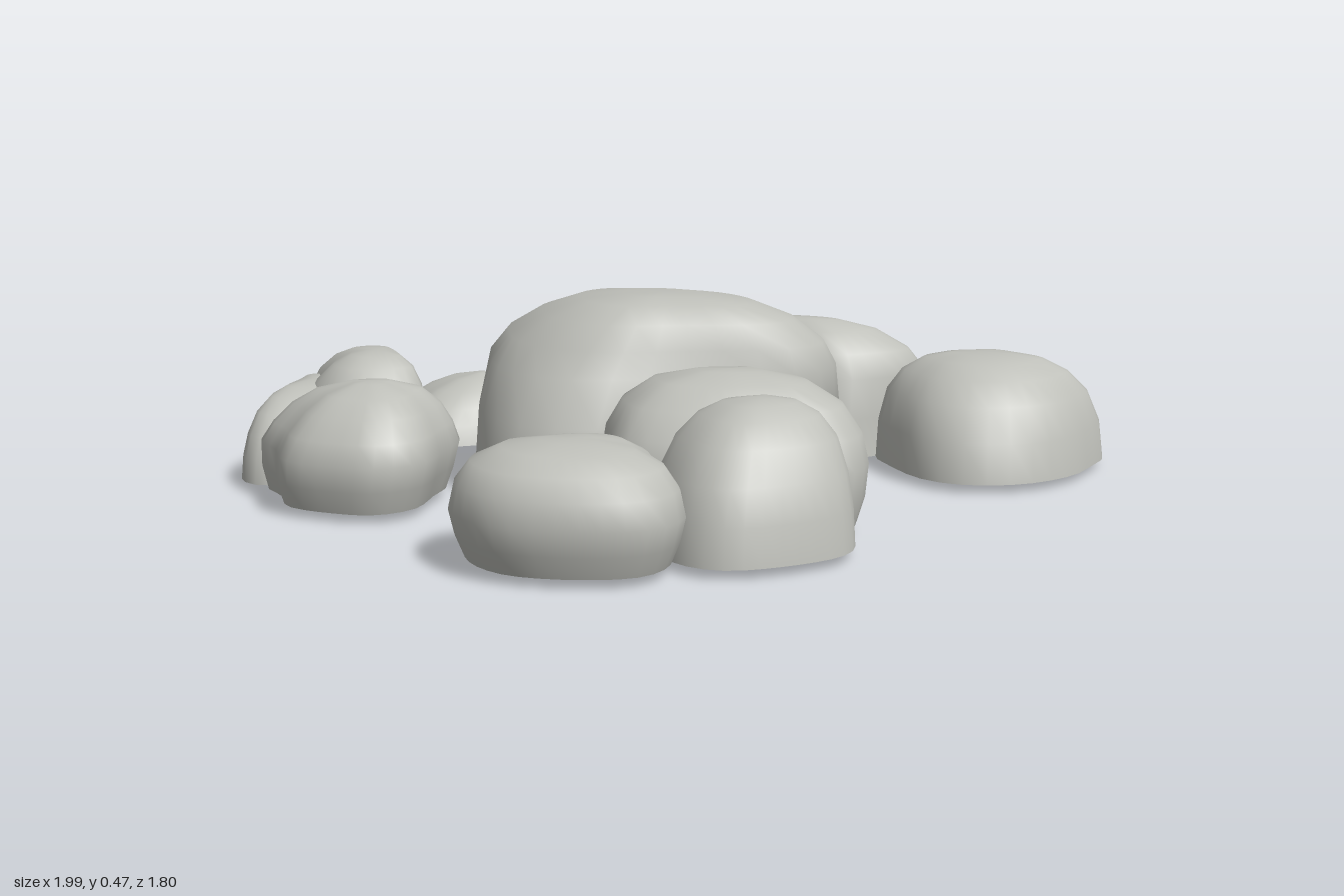
import * as THREE from 'three';

const SIDES = 32;

// Level: [height fraction, x scale, z scale, x shift, z shift]
const ROUND = [[0, .87], [.2, .95], [.42, 1], [.65, .95], [.83, .82], [.95, .57], [1, .25]];
const PEBBLE = [[0, .9], [.2, .97], [.42, 1], [.6, .9], [.78, .74], [.92, .52], [1, .2]];
const LOAF = [[0, .9], [.2, .97], [.42, 1], [.62, .96, .9], [.8, .83, .74], [.94, .58, .5], [1, .25, .2]];
const SPREAD = [[0, 1], [.28, .97], [.52, .9], [.75, .77], [.9, .58], [.98, .36], [1, .15]];
const WEDGE = [[0, 1], [.3, .93, .91], [.55, .8, .76], [.78, .59, .54], [.93, .36, .32], [1, .1]];
const RIDGE = [[0, 1], [.35, .97, .94], [.65, .88, .76], [.84, .73, .56], [.96, .52, .38], [1, .28, .16]];
const SLAB = [[0, .93, 1, .03], [.3, .98, .93, .01], [.6, 1, .78], [.78, .86, .6], [.93, .6, .38], [1, .3, .14]];
const BOULDER = [
  [0, .83, .97, -.07, 0], [.17, .93, .98, -.03, 0], [.42, 1, .9, 0, .015], [.64, .97, .74, .01, .03],
  [.77, .88, .61, .03, .06], [.89, .7, .47, .05, .09], [.97, .48, .31, .06, .11], [1, .22, .15, .06, .12],
];

// Lofts a closed plan outline through the levels; lean moves the crown in x and z
function rockGeometry({ outline, base = .02, top, levels, lean = [0, 0] }) {
  const curve = new THREE.CatmullRomCurve3(
    outline.map(([x, z]) => new THREE.Vector3(x, 0, z)), true, 'centripetal');
  const ring = curve.getSpacedPoints(SIDES).slice(0, SIDES);
  const area = ring.reduce((sum, p, i) => {
    const q = ring[(i + 1) % SIDES];
    return sum + p.x * q.z - q.x * p.z;
  }, 0);
  if (area > 0) ring.reverse();
  const box = new THREE.Box3().setFromPoints(ring);
  const c = box.getCenter(new THREE.Vector3());

  const positions = [], index = [];
  const addRing = ([h, sx, sz = sx, dx = 0, dz = 0]) => {
    const k = h * h;
    for (const p of ring) {
      positions.push(c.x + (p.x - c.x) * sx + dx + lean[0] * k,
        base + (top - base) * h,
        c.z + (p.z - c.z) * sz + dz + lean[1] * k);
    }
  };
  levels.forEach(addRing);
  const last = levels.length - 1;
  for (let r = 0; r < last; r++) {
    for (let i = 0; i < SIDES; i++) {
      const a = r * SIDES + i, b = r * SIDES + (i + 1) % SIDES;
      index.push(a, b, a + SIDES, b, b + SIDES, a + SIDES);
    }
  }
  // Crown point
  const [, , , tx = 0, tz = 0] = levels[last];
  const crown = positions.length / 3;
  positions.push(c.x + tx + lean[0], top + .002, c.z + tz + lean[1]);
  for (let i = 0; i < SIDES; i++) {
    index.push(last * SIDES + i, last * SIDES + (i + 1) % SIDES, crown);
  }
  // Flat underside with its own vertices for a sharp lower edge
  const under = positions.length / 3;
  addRing(levels[0]);
  const middle = positions.length / 3;
  positions.push(c.x + (levels[0][3] || 0), base, c.z + (levels[0][4] || 0));
  for (let i = 0; i < SIDES; i++) index.push(under + (i + 1) % SIDES, under + i, middle);

  const geometry = new THREE.BufferGeometry();
  geometry.setAttribute('position', new THREE.Float32BufferAttribute(positions, 3));
  geometry.setIndex(index);
  geometry.computeVertexNormals();
  return geometry;
}

const ROCKS = {
  mainBoulder: {
    base: 0, top: .466, levels: BOULDER,
    outline: [[-.12, -.7], [-.4, -.6], [-.48, -.42], [-.49, -.25], [-.42, 0], [-.33, .2], [-.18, .33],
      [-.05, .33], [.1, .22], [.38, .03], [.43, -.1], [.42, -.25], [.35, -.42], [.15, -.64]],
  },
  backRock: {
    top: .345, levels: SLAB, lean: [.02, .07],
    outline: [[-.05, -.85], [.08, -.89], [.25, -.9], [.38, -.86], [.48, -.78], [.53, -.7], [.52, -.6],
      [.45, -.48], [.37, -.4], [.22, -.4], [.05, -.42], [-.08, -.49], [-.12, -.58], [-.11, -.68]],
  },
  backLeftRock: {
    top: .285, levels: RIDGE, lean: [-.02, .01],
    outline: [[.73, -.89], [.83, -.83], [.99, -.67], [.98, -.52], [.95, -.4], [.85, -.27], [.72, -.22],
      [.62, -.25], [.52, -.36], [.45, -.48], [.5, -.65], [.55, -.76], [.65, -.84]],
  },
  frontLeftInnerRock: {
    top: .35, levels: LOAF, lean: [-.02, -.02],
    outline: [[.4, .03], [.52, .1], [.6, .2], [.6, .35], [.5, .42], [.35, .5], [.15, .51],
      [.08, .44], [.02, .28], [.1, .21], [.3, .1]],
  },
  frontLeftMiddleRock: {
    top: .32, levels: SPREAD, lean: [0, -.08],
    outline: [[.4, .27], [.48, .31], [.58, .34], [.625, .42], [.62, .5], [.55, .6], [.43, .69],
      [.34, .685], [.24, .6], [.19, .5], [.28, .36]],
  },
  frontRock: {
    top: .262, levels: ROUND,
    outline: [[-.16, .65], [-.12, .6], [.08, .45], [.2, .48], [.27, .58], [.34, .68], [.32, .8],
      [.22, .87], [.03, .9], [-.08, .85], [-.15, .76]],
  },
  backRightRock: {
    top: .18, levels: WEDGE, lean: [.04, -.05],
    outline: [[-.87, -.41], [-.8, -.52], [-.7, -.545], [-.5, -.54], [-.42, -.5], [-.42, -.35],
      [-.52, -.26], [-.62, -.19], [-.73, -.19], [-.8, -.28]],
  },
  rightUpperRock: {
    top: .298, levels: SPREAD, lean: [.06, .02],
    outline: [[-.99, -.12], [-.95, -.22], [-.82, -.26], [-.72, -.18], [-.57, 0], [-.53, .07],
      [-.6, .16], [-.74, .21], [-.86, .14], [-.93, -.02]],
  },
  rightOuterRock: {
    top: .225, levels: SPREAD, lean: [-.02, -.03],
    outline: [[-.98, -.15], [-.92, -.18], [-.82, -.05], [-.72, .08], [-.66, .18], [-.72, .28],
      [-.84, .345], [-.91, .3], [-.95, .05]],
  },
  frontRightRock: {
    top: .283, levels: PEBBLE, lean: [.05, -.01],
    outline: [[-.52, .11], [-.4, .18], [-.38, .3], [-.365, .45], [-.43, .54], [-.52, .555], [-.67, .53],
      [-.75, .43], [-.84, .34], [-.75, .24], [-.65, .16]],
  },
};

export function createModel() {
  const stone = new THREE.MeshStandardMaterial({ color: 0xbfc0ba });
  stone.name = 'greyStone';
  const group = new THREE.Group();
  group.name = 'rockCluster';
  for (const [name, spec] of Object.entries(ROCKS)) {
    const mesh = new THREE.Mesh(rockGeometry(spec), stone);
    mesh.name = name;
    group.add(mesh);
  }
  return group;
}
